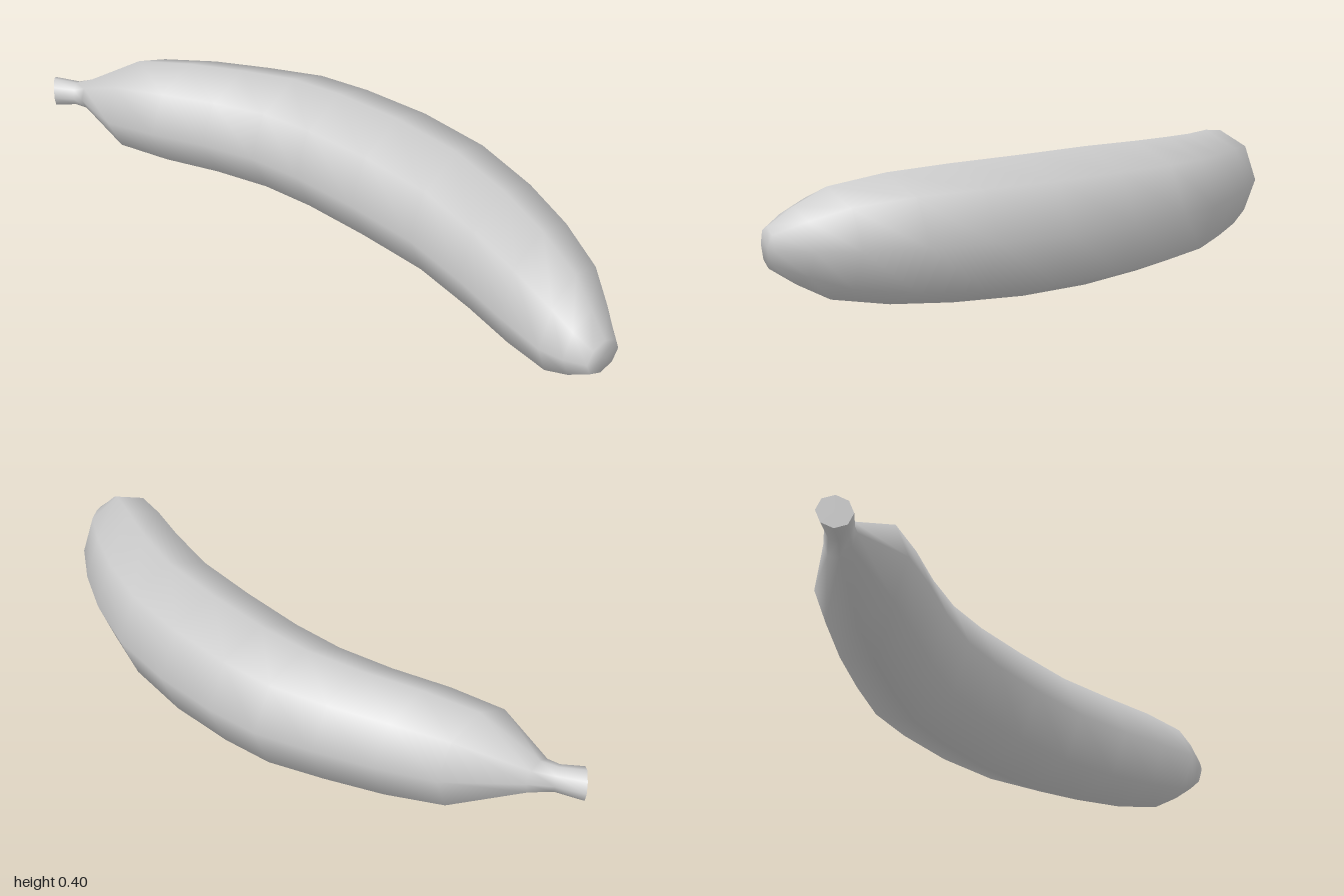
import * as THREE from 'three';

const SIDES = 8;
const MID_Y = 0.199;

// Cross-sections from stem to tip: x, z, radius, yaw of the ring
const RINGS = [
  [-0.97, 0.243, 0.045, 0.75],
  [-0.908, 0.207, 0.037, 0.5],
  [-0.868, 0.177, 0.051, 0.05],
  [-0.71, 0.112, 0.15, 0],
  [-0.56, 0.05, 0.17, 0],
  [-0.4, -0.015, 0.178, 0],
  [-0.24, -0.067, 0.188, 0],
  [-0.08, -0.085, 0.193, 0],
  [0.13, -0.086, 0.198, 0],
  [0.35, -0.065, 0.195, 0],
  [0.55, -0.008, 0.187, 0],
  [0.71, 0.055, 0.174, 0],
  [0.85, 0.117, 0.147, 0],
  [0.925, 0.157, 0.101, -0.08],
  [0.986, 0.185, 0.054, -0.25],
];

function ringPoints([x, z, r, yaw]) {
  const points = [];
  for (let j = 0; j < SIDES; j++) {
    const t = (j / SIDES) * Math.PI * 2;
    const across = r * Math.cos(t);
    points.push(x + across * Math.sin(yaw), MID_Y + r * Math.sin(t), z + across * Math.cos(yaw));
  }
  return points;
}

function smoothGeometry(positions, indices) {
  const geometry = new THREE.BufferGeometry();
  geometry.setAttribute('position', new THREE.Float32BufferAttribute(positions, 3));
  geometry.setIndex(indices);
  geometry.computeVertexNormals();
  return geometry;
}

// Curved body with the rounded tip closed by a fan
function bodyGeometry() {
  const positions = RINGS.flatMap(ringPoints);
  const indices = [];
  for (let i = 0; i < RINGS.length - 1; i++) {
    for (let j = 0; j < SIDES; j++) {
      const k = (j + 1) % SIDES;
      const a = i * SIDES + j, c = i * SIDES + k;
      const b = a + SIDES, d = c + SIDES;
      indices.push(a, b, c, b, d, c);
    }
  }
  const last = (RINGS.length - 1) * SIDES;
  const [x, z] = RINGS[RINGS.length - 1];
  const centre = positions.length / 3;
  positions.push(x, MID_Y, z);
  for (let j = 0; j < SIDES; j++) indices.push(centre, last + ((j + 1) % SIDES), last + j);
  return smoothGeometry(positions, indices);
}

// Flat cut face at the stem
function stemEndGeometry() {
  const [x, z] = RINGS[0];
  const positions = [...ringPoints(RINGS[0]), x, MID_Y, z];
  const indices = [];
  for (let j = 0; j < SIDES; j++) indices.push(SIDES, j, (j + 1) % SIDES);
  return smoothGeometry(positions, indices);
}

export function createModel() {
  const group = new THREE.Group();
  group.name = 'banana';
  const material = new THREE.MeshStandardMaterial({ color: 0xcccccc });
  const parts = { peel: bodyGeometry(), stemEnd: stemEndGeometry() };
  for (const [name, geometry] of Object.entries(parts)) {
    const mesh = new THREE.Mesh(geometry, material);
    mesh.name = name;
    group.add(mesh);
  }
  return group;
}
